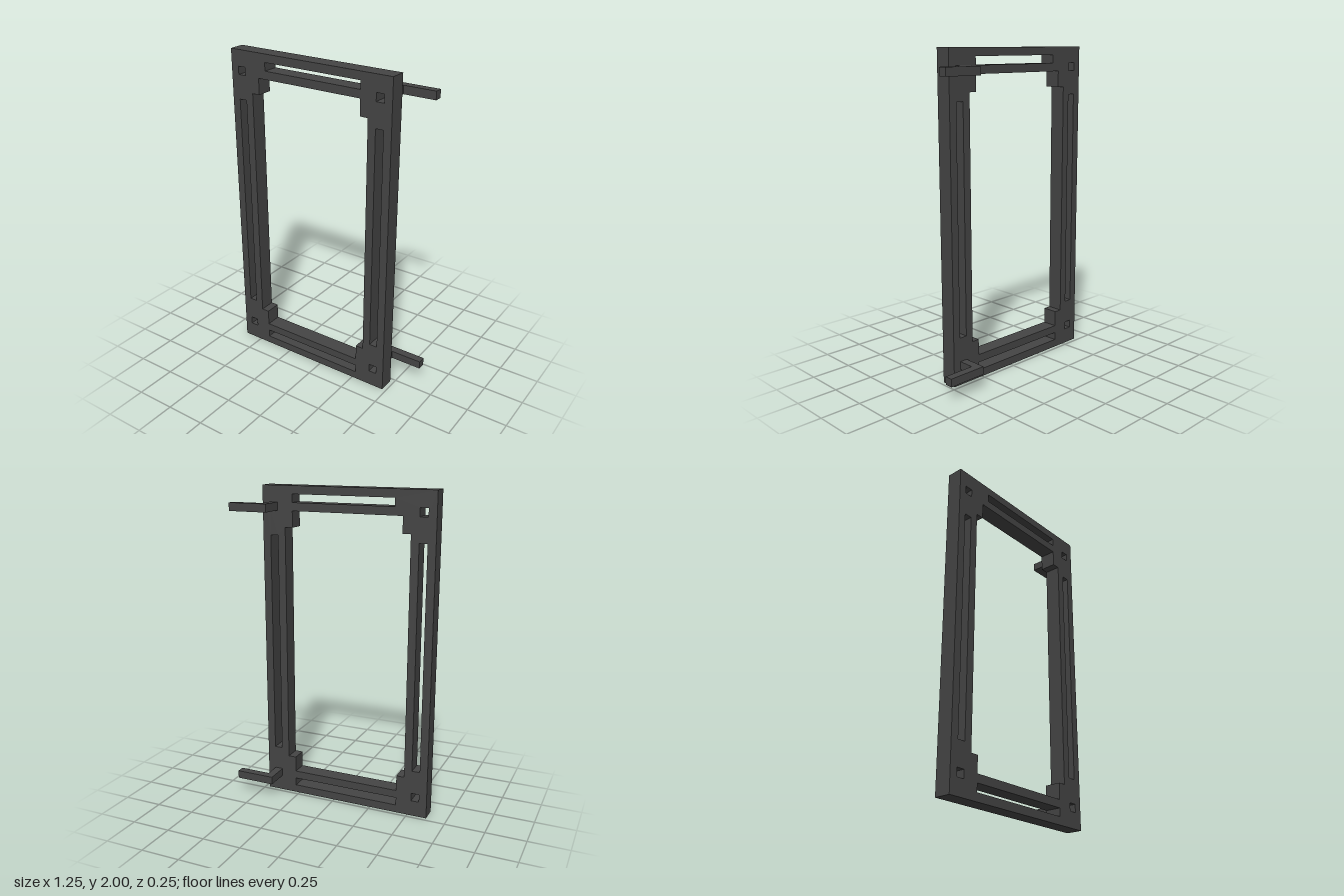
import * as THREE from 'three';

const rectPath = (x0, x1, y0, y1) => new THREE.Path([
  [x0, y0], [x0, y1], [x1, y1], [x1, y0],
].map(([x, y]) => new THREE.Vector2(x, y)));

export function createModel() {
  const model = new THREE.Group();
  model.name = 'hingedFrame';
  const darkGrey = new THREE.MeshStandardMaterial({ color: 0x444444 });
  darkGrey.name = 'darkGrey';

  // Outer outline of the frame
  const outline = new THREE.Shape([
    [-0.625, 0], [0.475, 0], [0.475, 2], [-0.625, 2],
  ].map(([x, y]) => new THREE.Vector2(x, y)));

  // Central opening, stepped around the four corner blocks
  outline.holes.push(new THREE.Path([
    [-0.425, 0.15], [-0.425, 0.25], [-0.475, 0.25],
    [-0.475, 1.75], [-0.425, 1.75], [-0.425, 1.85],
    [0.275, 1.85], [0.275, 1.75], [0.325, 1.75],
    [0.325, 0.25], [0.275, 0.25], [0.275, 0.15],
  ].map(([x, y]) => new THREE.Vector2(x, y))));

  // Long slots in the top and bottom rails
  outline.holes.push(rectPath(-0.375, 0.275, 1.9, 1.95));
  outline.holes.push(rectPath(-0.425, 0.275, 0.05, 0.1));

  // Long slots in the side rails and square holes in the corners
  for (const x of [-0.575, 0.375]) {
    outline.holes.push(rectPath(x, x + 0.05, 0.3, 1.7));
    for (const y of [0.1, 1.85]) outline.holes.push(rectPath(x, x + 0.05, y, y + 0.05));
  }

  const frame = new THREE.Mesh(
    new THREE.ExtrudeGeometry(outline, { depth: 0.1, bevelEnabled: false }), darkGrey);
  frame.name = 'frame';
  frame.position.z = 0.025;
  model.add(frame);

  // L-shaped hinge brackets behind the left corners
  const elbow = new THREE.Shape([
    [0.375, -0.025], [0.425, -0.025], [0.425, 0.075],
    [0.625, 0.075], [0.625, 0.125], [0.375, 0.125],
  ].map(([x, y]) => new THREE.Vector2(x, y)));
  const bracketGeometry = new THREE.ExtrudeGeometry(elbow, { depth: 0.05, bevelEnabled: false });
  bracketGeometry.rotateX(-Math.PI / 2);
  [['lowerBracket', 0.1], ['upperBracket', 1.85]].forEach(([name, y]) => {
    const bracket = new THREE.Mesh(bracketGeometry, darkGrey);
    bracket.name = name;
    bracket.position.y = y;
    model.add(bracket);
  });

  return model;
}
